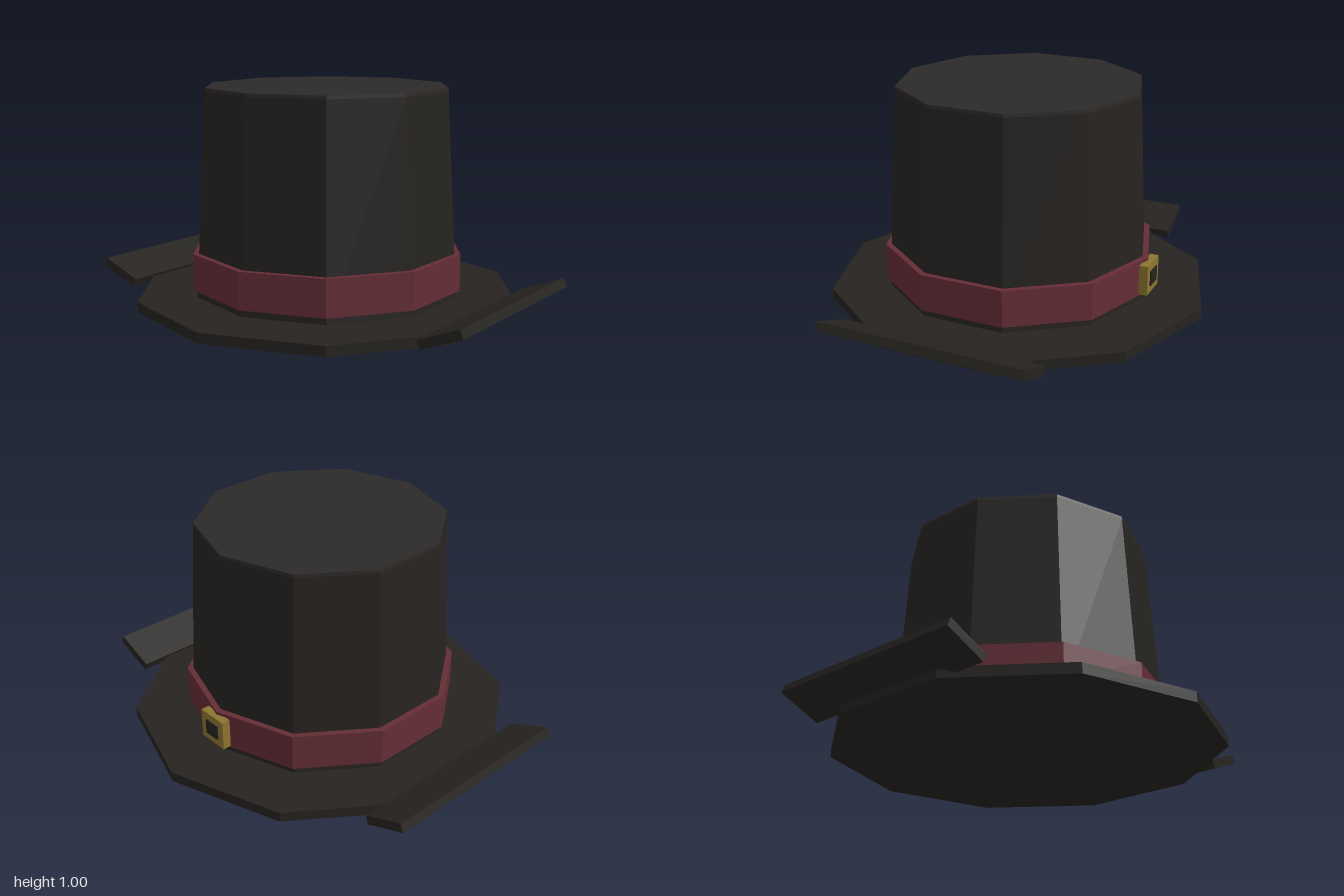
import * as THREE from 'three';

const SIDES = 10;
const paint = (color) => new THREE.MeshStandardMaterial({ color, flatShading: true });

export function createModel() {
  const hat = new THREE.Group();
  hat.name = 'topHat';
  const felt = paint(0x262320);
  const lidFelt = paint(0x2d2929);
  const ribbon = paint(0x652d36);
  const brass = paint(0x8c7530);

  const add = (name, geometry, material, x, y, z) => {
    const mesh = new THREE.Mesh(geometry, material);
    mesh.name = name;
    mesh.position.set(x, y, z);
    hat.add(mesh);
    return mesh;
  };
  // Ten-sided drum between two heights
  const drum = (name, rTop, rBottom, y0, y1, material) =>
    add(name, new THREE.CylinderGeometry(rTop, rBottom, y1 - y0, SIDES), material, 0, (y0 + y1) / 2, 0);

  drum('brim', 0.893, 0.893, 0, 0.047, felt);
  drum('crown', 0.568, 0.62, 0.04, 0.985, felt);
  drum('crownLid', 0.567, 0.568, 0.985, 1, lidFelt);
  drum('band', 0.636, 0.636, 0.08, 0.25, ribbon);

  // Upturned flaps on both sides of the brim
  for (const side of [1, -1]) {
    const flap = add(side > 0 ? 'leftFlap' : 'rightFlap',
      new THREE.BoxGeometry(0.21, 0.042, 0.96), felt, side * 0.895, 0.08, 0);
    flap.rotation.z = side * THREE.MathUtils.degToRad(22);
  }

  // Buckle on the back of the band
  add('buckle', new THREE.BoxGeometry(0.15, 0.14, 0.04), brass, 0, 0.165, -0.64);
  add('buckleCentre', new THREE.BoxGeometry(0.08, 0.07, 0.04), felt, 0, 0.165, -0.646);

  return hat;
}
